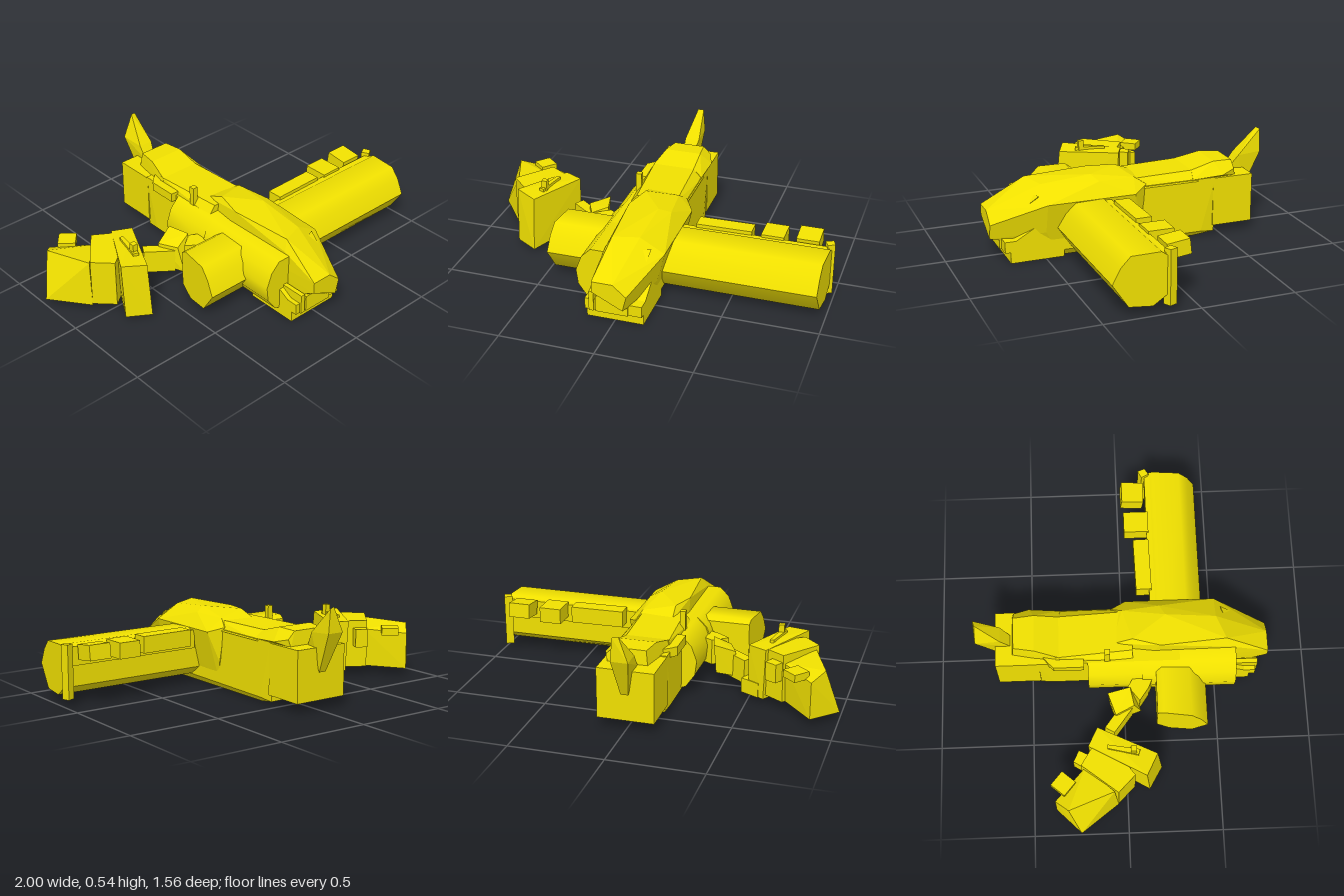
import * as THREE from 'three';
import { toCreasedNormals } from 'three/addons/utils/BufferGeometryUtils.js';
import { ConvexGeometry } from 'three/addons/geometries/ConvexGeometry.js';

export function createModel() {
  const group = new THREE.Group();
  const mat = new THREE.MeshStandardMaterial({ color: 0xf0e000 });

  const add = (name, geo) => {
    const mesh = new THREE.Mesh(geo, mat);
    mesh.name = name;
    group.add(mesh);
    return mesh;
  };
  // faceted solid around a few corner points; crease angle above 0 rounds soft edges
  const hull = (name, pts, crease = 0) => {
    const geo = new ConvexGeometry(pts.map(p => new THREE.Vector3(...p)));
    return add(name, crease ? toCreasedNormals(geo, crease) : geo);
  };
  // upright block from a plan outline of [x, z] corners
  const block = (name, plan, y0, y1) =>
    hull(name, plan.flatMap(([x, z]) => [[x, y0, z], [x, y1, z]]));
  // axis-aligned box from its limits
  const box = (name, x0, x1, y0, y1, z0, z1) => {
    const m = add(name, new THREE.BoxGeometry(x1 - x0, y1 - y0, z1 - z0));
    m.position.set((x0 + x1) / 2, (y0 + y1) / 2, (z0 + z1) / 2);
    return m;
  };
  // rounded solid between two depths with the same [x, y] outline
  const span = (name, ring, z0, z1) =>
    hull(name, ring.flatMap(([x, y]) => [[x, y, z0], [x, y, z1]]), 0.9);

  // lower body with bevelled underside, front skid plate and rear block
  hull('lowerBody', [-1, 1].flatMap(s => [
    [s * 0.12, 0, 0.66], [s * 0.15, 0.04, 0.66], [s * 0.15, 0.12, 0.66],
    [s * 0.12, 0, -0.35], [s * 0.15, 0.03, -0.38], [s * 0.14, 0.02, -0.46],
    [s * 0.15, 0.33, -0.46], [s * 0.15, 0.33, 0.3],
  ]));
  box('skidPlate', -0.15, 0.15, 0, 0.06, 0.4, 0.69);
  box('rearBlock', -0.15, 0.15, 0.055, 0.325, -0.68, -0.45);
  for (const x of [-0.15, 0.06]) box('frontFoot', x, x + 0.09, 0.06, 0.12, 0.6, 0.72);
  box('chinPost', -0.125, -0.1, 0.06, 0.17, 0.6, 0.73);
  box('chinBlock', -0.09, 0.08, 0.06, 0.15, 0.6, 0.73);

  // rounded bulge along the right flank
  const flank = [[-0.1, 0.02], [-0.18, 0.05], [-0.23, 0.12], [-0.24, 0.2], [-0.21, 0.28],
    [-0.16, 0.33], [0, 0.33], [0, 0.02]];
  span('frontFlank', flank, 0.1, 0.6);
  span('rearFlank', flank.map(([x, y]) => [x * 0.97, y]), -0.19, 0.15);
  block('sidePad', [[-0.18, -0.37], [-0.15, -0.4], [-0.1, -0.44], [-0.1, -0.21], [-0.18, -0.21]], 0.3, 0.35);

  // long asymmetric hood, its left side running down into the body
  hull('hood', [
    [-0.09, 0.2, 0.78], [-0.09, 0.26, 0.78], [0.02, 0.26, 0.78], [0.09, 0.2, 0.78], [0.07, 0.12, 0.78],
    [-0.09, 0.34, 0.57], [-0.06, 0.395, 0.55], [0.07, 0.385, 0.5], [0.2, 0.31, 0.5], [0.16, 0.15, 0.5],
    [-0.09, 0.4, 0.2], [0.08, 0.41, 0.23], [0.14, 0.385, 0.2],
    [-0.05, 0.405, 0.05], [0.12, 0.38, 0], [0.2, 0.31, 0.02], [0.155, 0.15, -0.03],
    [-0.1, 0.2, 0.1], [-0.09, 0.15, 0.7], [0.145, 0.34, -0.06], [-0.06, 0.36, -0.06],
    [0.14, 0.06, 0.45], [0.14, 0.05, 0],
  ]);
  hull('hoodFlap', [
    [0.03, 0.34, 0.57], [0.14, 0.345, 0.53], [0.13, 0.3, 0.59], [0.05, 0.31, 0.6], [0.1, 0.3, 0.54],
  ]);

  // upper deck running into the raised tail cover
  hull('deck', [
    [-0.13, 0.37, -0.36], [0.1, 0.37, -0.36], [-0.1, 0.37, 0.05], [0.12, 0.37, 0.05],
    [-0.14, 0.32, 0.05], [0.155, 0.32, 0.05], [-0.14, 0.32, -0.36], [0.155, 0.32, -0.36],
  ]);
  hull('tailCover', [
    [-0.14, 0.33, -0.33], [0.15, 0.33, -0.33], [-0.13, 0.37, -0.34], [0.1, 0.37, -0.34],
    [-0.1, 0.405, -0.47], [0.1, 0.405, -0.47], [-0.08, 0.4, -0.58], [0.09, 0.4, -0.58],
    [0.16, 0.34, -0.5], [0.13, 0.36, -0.58], [-0.09, 0.32, -0.59], [0.12, 0.32, -0.59],
  ]);
  box('antenna', -0.145, -0.115, 0.3, 0.435, -0.1, -0.07);

  // raked tail fin
  hull('tailFin', [
    [-0.04, 0.33, -0.6], [0.02, 0.33, -0.6], [-0.04, 0.4, -0.65], [0.04, 0.4, -0.65],
    [0, 0.54, -0.77], [0.03, 0.535, -0.78], [-0.05, 0.41, -0.78], [0.04, 0.41, -0.78],
    [-0.02, 0.2, -0.69], [0.02, 0.2, -0.69],
  ]);

  // softly rounded cross beam, ends slanted in plan; points are [z, y]
  const beam = [[0.44, 0.17], [0.4, 0.25], [0.35, 0.305], [0.2, 0.31], [0.17, 0.29],
    [0.17, 0.09], [0.24, 0.04], [0.36, 0.05]];
  hull('crossBeam', beam.flatMap(([z, y]) => [
    [0.98 - (z - 0.17) * 0.06, y, z], [-0.43 - (z - 0.17) * 0.13, y, z],
  ]), 0.9);

  // rail, stepped pads and end plate behind the beam
  box('beamRail', 0.19, 0.97, 0.2, 0.3, 0.155, 0.2);
  box('beamPad', 0.265, 0.56, 0.23, 0.32, 0.08, 0.165).rotation.y = 0.02;
  box('beamPad', 0.61, 0.73, 0.23, 0.315, 0.03, 0.165);
  box('beamPad', 0.79, 0.91, 0.24, 0.32, 0.02, 0.14).rotation.x = 0.12;
  block('endPlate', [[0.94, 0.14], [0.98, 0.12], [0.995, 0.16], [0.96, 0.18]], 0.035, 0.32);

  // bent right arm: joints close to the body
  block('shoulderJoint', [[-0.34, 0.08], [-0.26, 0.02], [-0.16, 0.08], [-0.2, 0.16], [-0.27, 0.13]], 0.1, 0.24);
  hull('elbowBox', [
    [-0.41, 0.22, -0.05], [-0.3, 0.26, -0.09], [-0.27, 0.26, 0.03], [-0.36, 0.22, 0.05],
    [-0.4, 0.08, -0.05], [-0.31, 0.1, -0.08], [-0.28, 0.1, 0.04], [-0.35, 0.08, 0.09],
  ]);
  block('elbowLink', [[-0.5, -0.06], [-0.47, -0.11], [-0.34, -0.01], [-0.37, 0.04]], 0.07, 0.2);

  // broad blade with a low foot at its inner end
  hull('armBlade', [
    [-0.6, 0.31, -0.2], [-0.5, 0.31, -0.15], [-0.65, 0.31, 0.16], [-0.77, 0.325, 0.1],
    [-0.59, 0.03, -0.19], [-0.5, 0.03, -0.14], [-0.65, 0.015, 0.19], [-0.77, 0.02, 0.12],
  ]);
  block('bladeFoot', [[-0.56, -0.18], [-0.46, -0.13], [-0.51, -0.03], [-0.6, -0.06]], 0.03, 0.11);
  block('bladeRidge', [[-0.62, -0.1], [-0.6, -0.1], [-0.63, 0.07], [-0.66, 0.06]], 0.3, 0.33);
  box('bladePin', -0.65, -0.62, 0.3, 0.37, 0.02, 0.05);

  // forearm and splayed outer block, lower towards the back
  block('forearm', [[-0.85, -0.05], [-0.7, -0.24], [-0.59, -0.17], [-0.6, -0.08], [-0.76, 0.04]], 0.05, 0.31);
  hull('outerBlock', [
    [-0.93, 0.285, -0.31], [-0.87, 0.24, -0.38], [-0.7, 0.26, -0.22], [-0.84, 0.29, -0.07],
    [-1, 0.04, -0.25], [-0.87, 0.04, -0.38], [-0.71, 0.05, -0.22], [-0.85, 0.04, -0.05],
  ]);
  block('outerPad', [[-0.85, -0.33], [-0.79, -0.4], [-0.72, -0.34], [-0.78, -0.27]], 0.24, 0.28);
  block('innerPad', [[-0.7, -0.23], [-0.67, -0.28], [-0.61, -0.25], [-0.64, -0.19]], 0.17, 0.27);

  return group;
}
